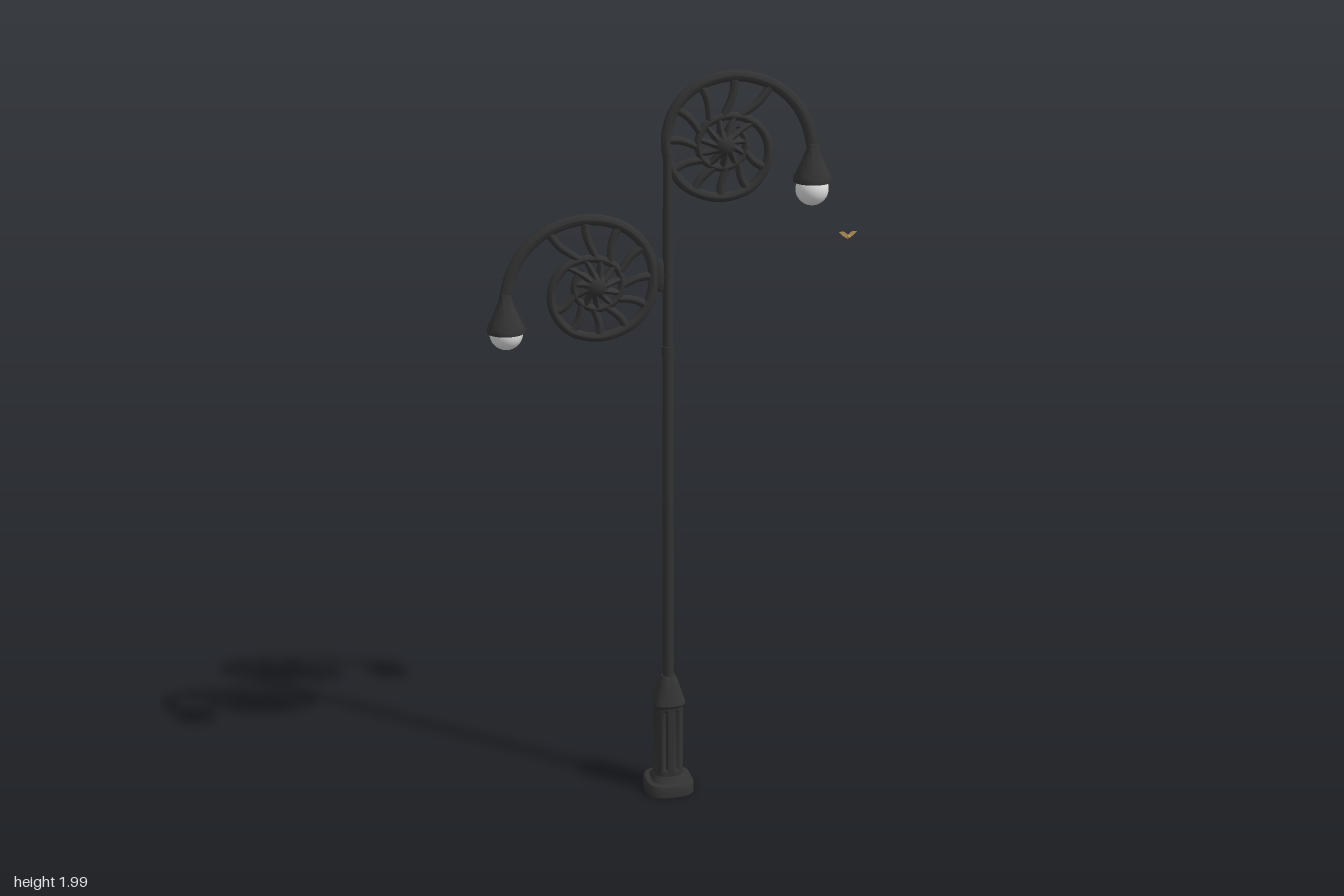
import * as THREE from 'three';
import { toCreasedNormals } from 'three/addons/utils/BufferGeometryUtils.js';

const iron = new THREE.MeshStandardMaterial({ color: 0x333333 });
iron.name = 'dark iron';
const glass = new THREE.MeshStandardMaterial({ color: 0xdedede });
glass.name = 'white glass';
const ochre = new THREE.MeshStandardMaterial({ color: 0xb8975a, side: THREE.DoubleSide });
ochre.name = 'ochre';

const POLE_X = -0.02;

function add(parent, name, geometry, material, x = 0, y = 0, z = 0) {
  const mesh = new THREE.Mesh(geometry, material);
  mesh.name = name;
  mesh.position.set(x, y, z);
  parent.add(mesh);
  return mesh;
}

// Tube along points, tapering from r0 to r1, with its depth scaled by flat0 to flat1
function taperTube(points, r0, r1, segments, flat0, flat1) {
  const sides = 10;
  const curve = new THREE.CatmullRomCurve3(points);
  const geo = new THREE.TubeGeometry(curve, segments, 1, sides);
  const pos = geo.attributes.position;
  const v = new THREE.Vector3();
  for (let i = 0; i <= segments; i++) {
    const t = i / segments;
    const centre = curve.getPointAt(t);
    const r = THREE.MathUtils.lerp(r0, r1, t);
    const flat = THREE.MathUtils.lerp(flat0, flat1, t);
    for (let j = 0; j <= sides; j++) {
      const k = i * (sides + 1) + j;
      v.fromBufferAttribute(pos, k).sub(centre).multiplyScalar(r);
      pos.setXYZ(k, centre.x + v.x, centre.y + v.y, centre.z + v.z * flat);
    }
  }
  geo.computeVertexNormals();
  return geo;
}

// Rounded-square loft; rows are [y, half width, squareness, flute depth]
function loft(rows) {
  const n = 64, verts = [], index = [];
  for (const [y, r, p, flute = 0] of rows) {
    for (let j = 0; j < n; j++) {
      const a = (j / n) * Math.PI * 2, c = Math.cos(a), s = Math.sin(a);
      const square = Math.pow(Math.abs(c) ** p + Math.abs(s) ** p, -1 / p);
      const k = r * square * (1 - flute * Math.max(0, -Math.cos(a * 8)));
      verts.push(c * k, y, s * k);
    }
  }
  for (let i = 0; i < rows.length - 1; i++) {
    for (let j = 0; j < n; j++) {
      const a = i * n + j, b = i * n + (j + 1) % n;
      index.push(a, a + n, b, b, a + n, b + n);
    }
  }
  const geo = new THREE.BufferGeometry();
  geo.setAttribute('position', new THREE.Float32BufferAttribute(verts, 3));
  geo.setIndex(index);
  return toCreasedNormals(geo, 0.6);
}

// Shell spiral as [angle in degrees, radius], from the lamp inwards
const SPIRAL = [
  [-3, 0.234], [14, 0.22], [30, 0.208], [50, 0.193], [80, 0.176], [113, 0.166],
  [142, 0.16], [172, 0.152], [202, 0.148], [229, 0.144], [266, 0.138], [301, 0.136],
  [332, 0.127], [360, 0.114], [387, 0.098], [418, 0.08], [458, 0.069], [500, 0.069],
  [540, 0.068], [580, 0.066], [630, 0.062], [680, 0.06], [720, 0.057], [770, 0.06],
];

function spiralRadius(angle) {
  const i = Math.max(1, SPIRAL.findIndex(([a]) => a >= angle));
  const [a0, r0] = SPIRAL[i - 1], [a1, r1] = SPIRAL[i];
  return THREE.MathUtils.mapLinear(angle, a0, a1, r0, r1);
}

// One spiral arm with its spokes, hub and lamp; side = 1 points to +x
function buildArm(name, side, x, y, bulbY) {
  const arm = new THREE.Group();
  arm.name = name;
  arm.position.set(x, y, 0);
  const at = (deg, r) => {
    const a = THREE.MathUtils.degToRad(deg);
    return new THREE.Vector3(side * r * Math.cos(a), r * Math.sin(a), 0);
  };

  const path = SPIRAL.map(([a, r]) => at(a, r));
  path.unshift(new THREE.Vector3(side * 0.236, -0.04, 0));
  add(arm, 'spiralRim', taperTube(path, 0.0165, 0.009, 180, 0.56, 0.95), iron);

  // Curved spokes between the outer and inner turns
  for (let a = 50; a < 350; a += 31) {
    const outer = spiralRadius(a), inner = spiralRadius(a + 370);
    const spoke = [at(a, outer), at(a - 1, inner + (outer - inner) * 0.55), at(a + 10, inner)];
    add(arm, 'outerSpoke', taperTube(spoke, 0.0115, 0.0095, 10, 0.65, 0.9), iron);
  }
  // Short spokes that thicken towards the hub
  for (let a = 395; a < 740; a += 33) {
    const r = spiralRadius(a);
    const spoke = [at(a + 12, 0.02), at(a + 4, (r + 0.02) / 2), at(a, r)];
    add(arm, 'innerSpoke', taperTube(spoke, 0.0095, 0.007, 8, 2.6, 1.1), iron);
  }
  add(arm, 'hub', new THREE.SphereGeometry(0.034, 20, 14), iron).scale.z = 0.88;

  // Lamp shade and glass bulb
  const shade = [[0, -0.01], [0.014, -0.01], [0.018, -0.028], [0.027, -0.05], [0.037, -0.072],
    [0.046, -0.091], [0.049, -0.098], [0.049, -0.109], [0.04, -0.109], [0, -0.109]];
  const shadeGeo = new THREE.LatheGeometry(
    shade.map(([r, h]) => new THREE.Vector2(r, h)).reverse(), 28);
  add(arm, 'lampShade', toCreasedNormals(shadeGeo, 0.7), iron, side * 0.235);
  add(arm, 'lampBulb', new THREE.SphereGeometry(0.043, 28, 18), glass, side * 0.235, bulbY);
  return arm;
}

export function createModel() {
  const model = new THREE.Group();
  model.name = 'streetLamp';

  // Base plate, fluted pedestal and bell-shaped cap
  add(model, 'basePlate', loft([
    [0, 0, 3.2], [0, 0.067, 3.2], [0.024, 0.067, 3.2], [0.032, 0.063, 3.2],
    [0.034, 0.05, 3.2], [0.042, 0.045, 3.2], [0.052, 0.038, 3.2], [0.052, 0, 3.2],
  ]), iron, POLE_X);
  add(model, 'flutedPedestal', loft([
    [0.045, 0.039, 3], [0.064, 0.039, 3], [0.071, 0.039, 3, 0.15],
    [0.243, 0.039, 3, 0.15], [0.25, 0.039, 3], [0.262, 0.039, 3],
  ]), iron, POLE_X);
  add(model, 'pedestalCap', loft([
    [0.256, 0, 3], [0.256, 0.041, 3], [0.265, 0.045, 3], [0.275, 0.042, 3],
    [0.292, 0.037, 2.6], [0.312, 0.031, 2.3], [0.33, 0.025, 2], [0.341, 0.019, 2], [0.341, 0, 2],
  ]), iron, POLE_X);

  // Pole in two sections with a joint
  const pole = (name, r0, r1, y0, y1) => add(model, name,
    new THREE.CylinderGeometry(r1, r0, y1 - y0, 20), iron, POLE_X, (y0 + y1) / 2);
  pole('lowerPole', 0.015, 0.0145, 0.33, 1.27);
  pole('poleJoint', 0.0165, 0.0165, 1.25, 1.28);
  pole('upperPole', 0.014, 0.012, 1.27, 1.79);

  // Spiral arms
  model.add(buildArm('upperArm', 1, 0.127, 1.804, -0.128));
  model.add(buildArm('lowerArm', -1, -0.208, 1.454, -0.112));
  add(model, 'armBracket', new THREE.SphereGeometry(1, 16, 12), iron, -0.04, 1.47)
    .scale.set(0.018, 0.045, 0.009);

  // Small bird beside the lamp
  const bird = new THREE.Group();
  bird.name = 'bird';
  bird.position.set(0.462, 1.548, 0);
  const wings = new THREE.Shape([[0, -0.011], [0.013, -0.003], [0.025, 0.009], [0.012, 0.01],
    [0, 0.001], [-0.012, 0.01], [-0.025, 0.009], [-0.013, -0.003]]
    .map(([x, y]) => new THREE.Vector2(x, y)));
  add(bird, 'wings', new THREE.ShapeGeometry(wings), ochre);
  add(bird, 'birdBody', new THREE.SphereGeometry(0.005, 10, 8), ochre, 0.002, -0.005);
  model.add(bird);

  return model;
}
